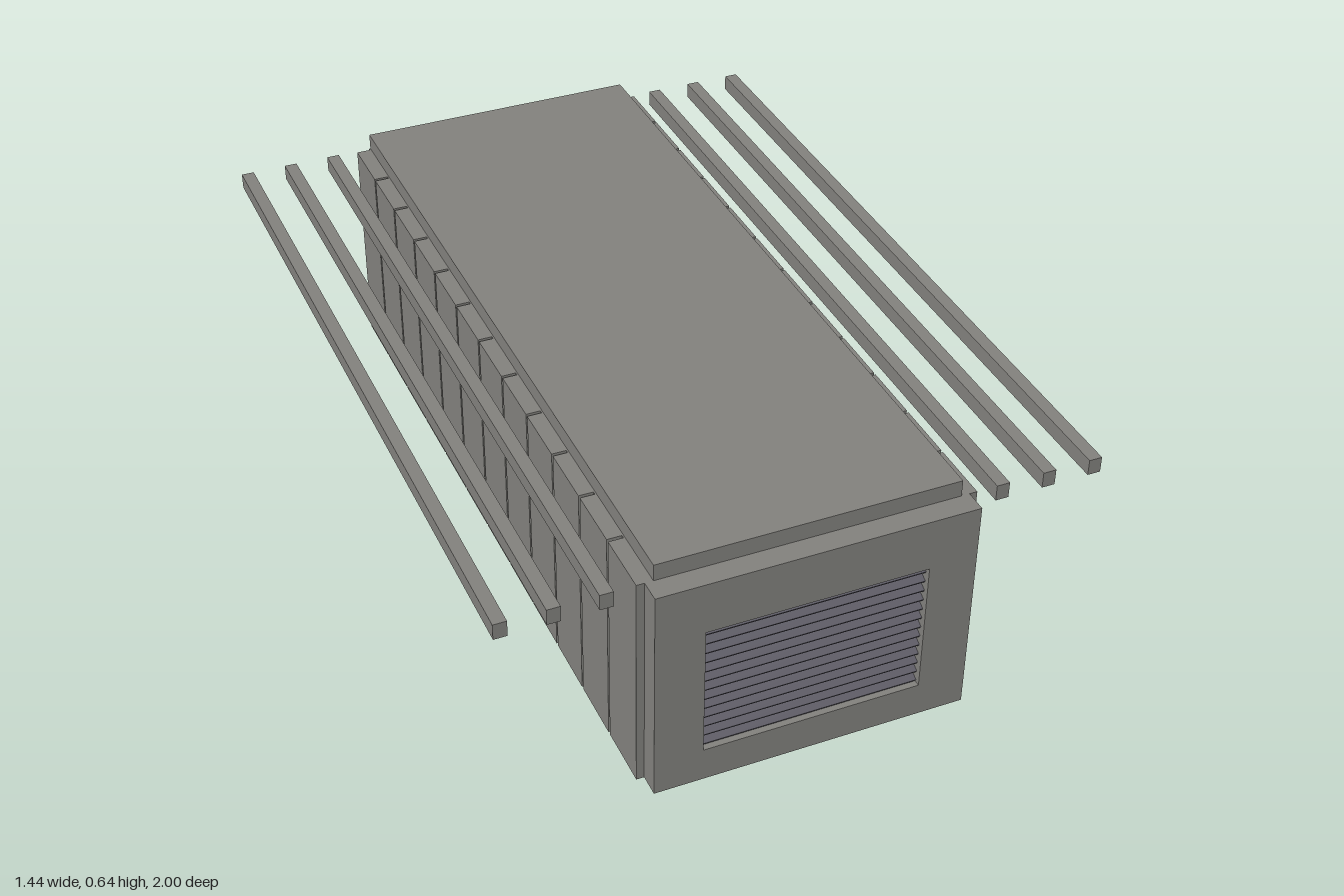
import * as THREE from 'three';

export function createModel() {
  const model = new THREE.Group();
  model.name = 'pavilion';
  const concrete = new THREE.MeshStandardMaterial({ color: 0x82817d });
  concrete.name = 'concrete grey';
  const slatMetal = new THREE.MeshStandardMaterial({ color: 0x5a5862 });
  slatMetal.name = 'dark slat grey';

  // Box given by its extents on each axis
  function block(name, [x0, x1], [y0, y1], [z0, z1], material = concrete, parent = model) {
    const mesh = new THREE.Mesh(new THREE.BoxGeometry(x1 - x0, y1 - y0, z1 - z0), material);
    mesh.position.set((x0 + x1) / 2, (y0 + y1) / 2, (z0 + z1) / 2);
    mesh.name = name;
    parent.add(mesh);
    return mesh;
  }
  function group(name) {
    const g = new THREE.Group();
    g.name = name;
    model.add(g);
    return g;
  }

  const back = -1, wallZ = 0.945, front = 1;

  // Floor and roof slabs
  block('floorSlab', [-0.365, 0.365], [0, 0.037], [back, wallZ]);
  block('roofSlab', [-0.365, 0.365], [0.6, 0.642], [back, wallZ]);

  // Long beams, under the roof and out past both sides
  const beams = group('beams');
  for (let i = -6; i <= 6; i++) {
    const x = i * 0.1175;
    block('beam', [x - 0.016, x + 0.016], [0.56, 0.6], [back, wallZ], concrete, beams);
  }

  // Side walls of narrow panels with slits between them
  const pitch = 0.1622, width = 0.154;
  for (const side of [-1, 1]) {
    const wall = group(side > 0 ? 'leftWall' : 'rightWall');
    const xs = side > 0 ? [0.367, 0.404] : [-0.404, -0.367];
    for (let i = 0; i < 12; i++) {
      const z = wallZ - i * pitch;
      block('wallPanel', xs, [0.035, 0.6], [z - width, z], concrete, wall);
    }
  }

  // Front frame around the louvred opening
  const frame = group('frontFrame');
  block('leftPost', [0.267, 0.385], [0.035, 0.6], [wallZ, front], concrete, frame);
  block('rightPost', [-0.385, -0.267], [0.035, 0.6], [wallZ, front], concrete, frame);
  block('lintel', [-0.267, 0.267], [0.467, 0.6], [wallZ, front], concrete, frame);
  block('sill', [-0.267, 0.267], [0.035, 0.123], [wallZ, front], concrete, frame);

  // Tilted louvre slats
  const louvre = group('louvre');
  for (let i = 0; i < 13; i++) {
    const y = 0.134 + i * 0.0267;
    const slat = block('slat', [-0.267, 0.267], [y - 0.003, y + 0.003], [0.957, 0.988], slatMetal, louvre);
    slat.rotation.x = 0.5;
  }

  return model;
}
